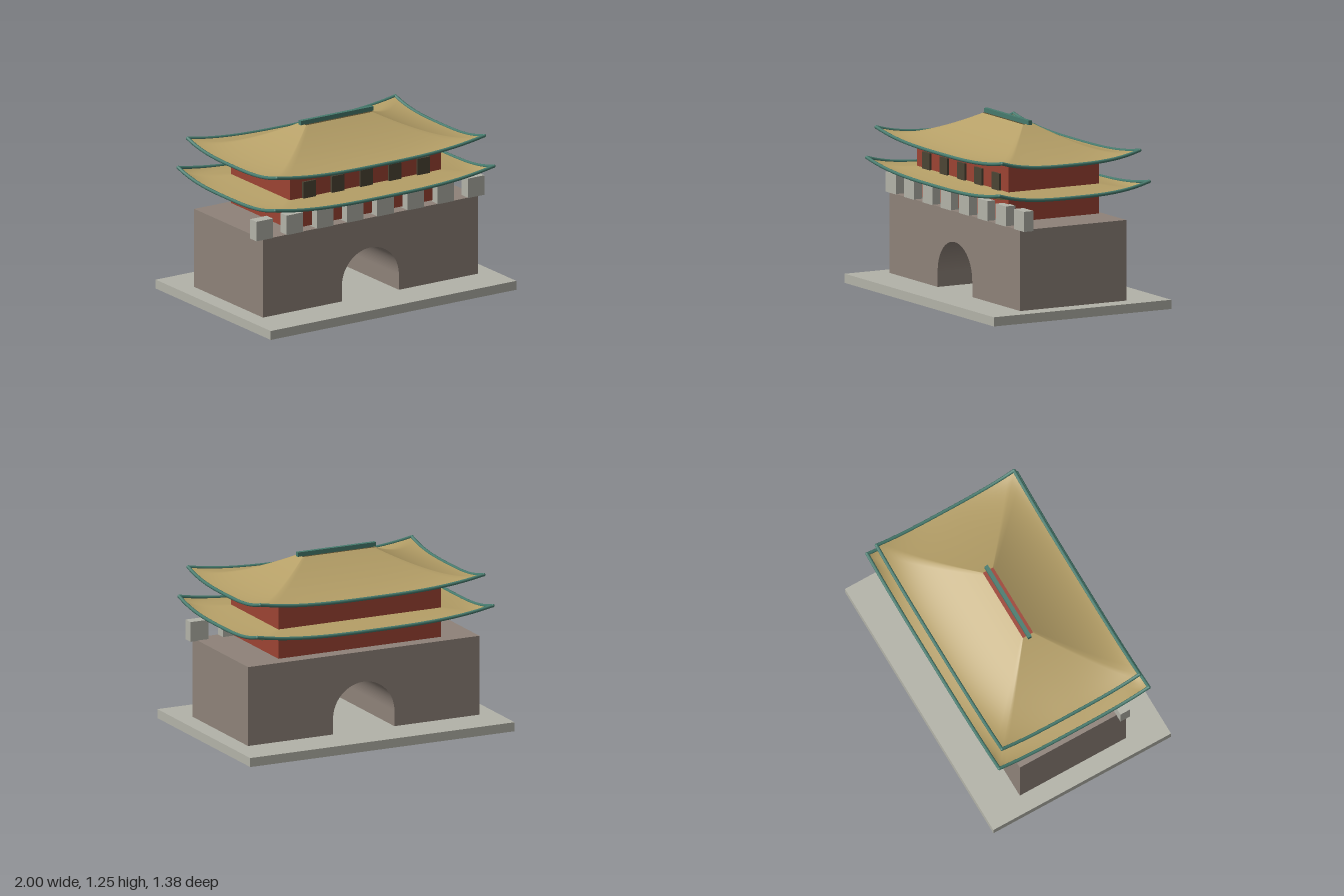
import * as THREE from 'three';

const mat = (name, color, side = THREE.FrontSide) => {
  const m = new THREE.MeshStandardMaterial({ color, side });
  m.name = name;
  return m;
};

export function createModel() {
  const model = new THREE.Group();
  model.name = 'gateTower';

  const paleStone = mat('pale stone', 0xb2b2a8);
  const brownStone = mat('brown stone', 0x8e8279);
  const redPaint = mat('red paint', 0x9c4333);
  const darkWood = mat('dark wood', 0x4c4434);
  const goldTile = mat('gold tile', 0xb59f67, THREE.DoubleSide);
  const greenTrim = mat('green trim', 0x467a6d);

  const add = (name, geometry, material, parent = model) => {
    const mesh = new THREE.Mesh(geometry, material);
    mesh.name = name;
    parent.add(mesh);
    return mesh;
  };
  // Box given by its centre in x and z, and its bottom and top
  const box = (name, material, w, d, y0, y1, x = 0, z = 0, parent = model) => {
    const mesh = add(name, new THREE.BoxGeometry(w, y1 - y0, d), material, parent);
    mesh.position.set(x, (y0 + y1) / 2, z);
    return mesh;
  };

  // Plinth
  box('plinth', paleStone, 2, 1.385, 0, 0.063);

  // Gate wall with an arched passage running through it
  const gate = new THREE.Shape();
  gate.moveTo(-0.875, 0.06);
  gate.lineTo(-0.232, 0.06);
  gate.lineTo(-0.232, 0.172);
  gate.absarc(0, 0.172, 0.232, Math.PI, 0, true);
  gate.lineTo(0.232, 0.06);
  gate.lineTo(0.875, 0.06);
  gate.lineTo(0.875, 0.615);
  gate.lineTo(-0.875, 0.615);
  const wall = add('gateWall',
    new THREE.ExtrudeGeometry(gate, { depth: 0.828, bevelEnabled: false, curveSegments: 32 }), brownStone);
  wall.position.z = -0.414;

  // Battlements along the front edge
  const battlements = new THREE.Group();
  battlements.name = 'battlements';
  model.add(battlements);
  for (let i = 0; i < 8; i++) {
    box('merlon', paleStone, 0.135, 0.075, 0.612, 0.75, (i - 3.5) * 0.246, 0.377, battlements);
  }

  // Hall and its front windows
  box('hall', redPaint, 1.23, 0.708, 0.626, 1.01);
  for (let i = -2; i <= 2; i++) {
    box('window', darkWood, 0.1, 0.03, 0.79, 0.945, i * 0.2325, 0.355);
  }

  // Curved hip roof: a rectangular ring of tiles with upturned corners
  const SIDE = 24, RINGS = 20;
  const roof = (name, { eave, top, y, rise, power, lift }) => {
    const group = new THREE.Group();
    group.name = name;
    model.add(group);

    // s runs 0..4 round the four sides, t runs 0 at the eave to 1 at the top
    const point = (s, t) => {
      const side = Math.floor(s) % 4;
      const u = (s - Math.floor(s)) * 2 - 1;
      const [px, pz] = [[1, u], [-u, 1], [-1, -u], [u, -1]][side];
      const hx = THREE.MathUtils.lerp(eave[0], top[0], t);
      const hz = THREE.MathUtils.lerp(eave[1], top[1], t);
      const h = y + rise * t ** power + lift * Math.abs(u) ** 3 * (1 - t) ** 5;
      return new THREE.Vector3(px * hx, h, pz * hz);
    };

    const n = SIDE * 4, pos = [], index = [];
    for (let j = 0; j <= RINGS; j++) {
      for (let i = 0; i < n; i++) pos.push(...point(i / SIDE, j / RINGS).toArray());
    }
    for (let j = 0; j < RINGS; j++) {
      for (let i = 0; i < n; i++) {
        const a = j * n + i, b = j * n + (i + 1) % n;
        index.push(a, a + n, b, b, a + n, b + n);
      }
    }
    const tiles = new THREE.BufferGeometry();
    tiles.setAttribute('position', new THREE.Float32BufferAttribute(pos, 3));
    tiles.setIndex(index);
    tiles.computeVertexNormals();
    add('roofTiles', tiles, goldTile, group);

    // Trim along each eave, with a rounded joint at each corner
    for (let k = 0; k < 4; k++) {
      const pts = [];
      for (let i = 0; i <= 16; i++) pts.push(point((k + i / 16) % 4, 0));
      add('eaveTrim', new THREE.TubeGeometry(new THREE.CatmullRomCurve3(pts), 40, 0.012, 8), greenTrim, group);
      add('eaveCorner', new THREE.SphereGeometry(0.0125, 12, 8), greenTrim, group).position.copy(pts[0]);
    }
  };

  roof('lowerRoof', { eave: [0.89, 0.583], top: [0.61, 0.35], y: 0.806, rise: 0.026, power: 1.4, lift: 0.06 });
  roof('upperRoof', { eave: [0.845, 0.536], top: [0.27, 0.04], y: 1.021, rise: 0.197, power: 1.6, lift: 0.056 });

  // Ridge beam
  box('ridgeBeam', greenTrim, 0.592, 0.027, 1.215, 1.245);

  return model;
}
